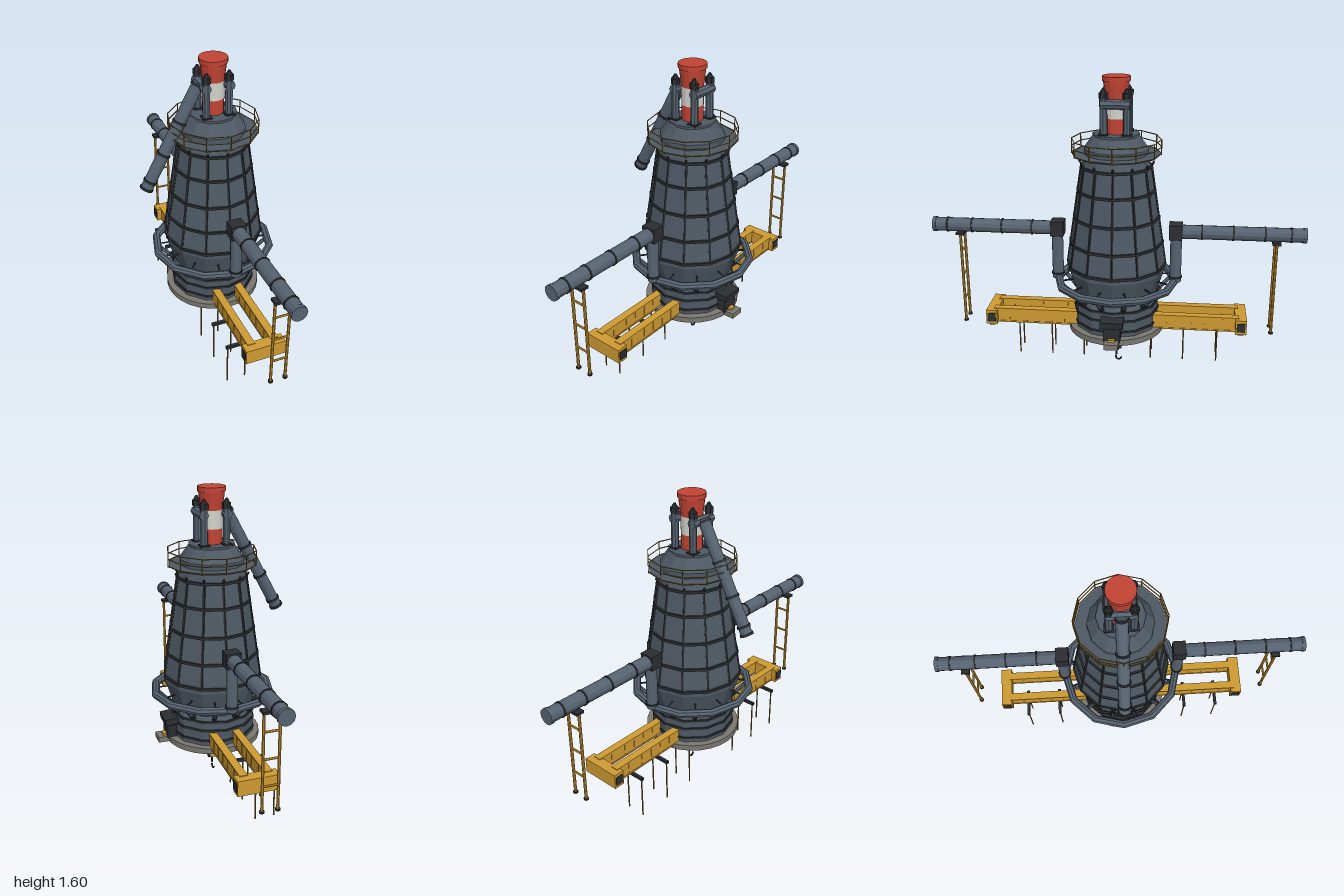
import * as THREE from 'three';

const mat = (name, color, side = THREE.FrontSide) => {
  const m = new THREE.MeshStandardMaterial({ color, flatShading: true, side });
  m.name = name;
  return m;
};

export function createModel() {
  const steel = mat('blue grey steel', 0x4e5964);
  const pipeMat = mat('pipe steel', 0x566270);
  const dark = mat('dark iron', 0x2b2d31);
  const yellow = mat('crane yellow', 0xcf9a32);
  const bronze = mat('rail bronze', 0x8a6826);
  const concrete = mat('concrete', 0x7a7770);
  const red = mat('signal red', 0xc24434);
  const white = mat('off white', 0xd4d4ce);

  const root = new THREE.Group();
  const plant = new THREE.Group();
  plant.name = 'blastFurnace';
  plant.position.x = 0.03;
  root.add(plant);

  const V = (x, y, z) => new THREE.Vector3(x, y, z);
  const polar = (r, a, y) => V(r * Math.sin(a), y, r * Math.cos(a));
  const add = (name, geo, m, x = 0, y = 0, z = 0) => {
    const mesh = new THREE.Mesh(geo, m);
    mesh.name = name;
    mesh.position.set(x, y, z);
    plant.add(mesh);
    return mesh;
  };
  const box = (name, m, w, h, d, x, y, z) => add(name, new THREE.BoxGeometry(w, h, d), m, x, y, z);
  // vertical drum from y0 to y1
  const drum = (name, m, r0, r1, y0, y1, n = 12, x = 0, z = 0) =>
    add(name, new THREE.CylinderGeometry(r1, r0, y1 - y0, n), m, x, (y0 + y1) / 2, z);
  // round bar between two points
  const rod = (name, m, a, b, r, n = 6) => {
    const dir = b.clone().sub(a);
    const mid = a.clone().add(b).multiplyScalar(0.5);
    const mesh = add(name, new THREE.CylinderGeometry(r, r, dir.length(), n), m, mid.x, mid.y, mid.z);
    mesh.quaternion.setFromUnitVectors(V(0, 1, 0), dir.normalize());
    return mesh;
  };
  // short collar around a pipe running from a to b, at fraction t
  const collar = (a, b, t, r, w, m = dark, n = 12) => {
    const d = b.clone().sub(a).normalize().multiplyScalar(w / 2);
    const c = a.clone().lerp(b, t);
    return rod('pipeCollar', m, c.clone().sub(d), c.clone().add(d), r, n);
  };
  const around = (n, f, shift = 0) => {
    for (let i = 0; i < n; i++) f(((i + shift) / n) * Math.PI * 2, i);
  };

  // Base slab and furnace shell
  drum('baseSlab', concrete, 0.26, 0.26, 0.226, 0.258, 28);
  const profile = [[0, 0.25], [0.228, 0.25], [0.228, 0.4], [0.215, 0.425], [0.262, 0.57], [0.262, 0.62],
    [0.18, 1.15], [0.168, 1.2], [0.168, 1.235], [0.122, 1.3], [0.122, 1.312], [0, 1.312]];
  add('furnaceShell', new THREE.LatheGeometry(profile.map(p => new THREE.Vector2(...p)), 12), steel);
  for (const y of [0.285, 0.345, 0.395]) drum('hearthBand', dark, 0.234, 0.234, y - 0.006, y + 0.006);

  // Stack hoops and vertical ribs
  const stackR = y => 0.262 - (y - 0.62) * (0.082 / 0.53);
  for (const y of [0.6, 0.727, 0.866, 1.012, 1.14]) {
    const r = Math.min(0.262, stackR(y)) + 0.009;
    drum('stackHoop', dark, r, r, y - 0.007, y + 0.007);
  }
  around(12, a => {
    rod('stackRib', dark, polar(0.264, a, 0.6), polar(0.182, a, 1.15), 0.007, 4);
    rod('ribTip', dark, polar(0.18, a, 1.135), polar(0.195, a, 1.165), 0.006, 4);
  });

  // Bustle pipe with tuyere feeds
  const bustle = add('bustlePipe', new THREE.TorusGeometry(0.318, 0.022, 8, 12), pipeMat, 0, 0.502, 0);
  bustle.rotation.x = Math.PI / 2;
  around(12, a => {
    rod('tuyereFeed', pipeMat, polar(0.3, a, 0.49), polar(0.235, a, 0.425), 0.011);
    rod('tuyereNozzle', dark, polar(0.245, a, 0.435), polar(0.212, a, 0.408), 0.014);
    rod('bustleHanger', dark, polar(0.305, a, 0.508), polar(0.235, a, 0.515), 0.005, 4);
  }, 0.5);

  // Top deck and railing
  drum('topDeck', steel, 0.228, 0.228, 1.199, 1.206);
  around(12, (a, i) => {
    const b = a + Math.PI / 6;
    rod('railPost', bronze, polar(0.233, a, 1.2), polar(0.233, a, 1.282), 0.003, 4);
    for (const y of [1.206, 1.242, 1.28]) rod('railBar', bronze, polar(0.233, a, y), polar(0.233, b, y), 0.003, 4);
  });

  // Banded chimney
  drum('chimneyLower', red, 0.056, 0.056, 1.31, 1.39, 16);
  drum('chimneyMiddle', white, 0.056, 0.057, 1.39, 1.485, 16);
  drum('chimneyUpper', red, 0.057, 0.068, 1.485, 1.58, 16);
  drum('chimneyRim', red, 0.073, 0.073, 1.578, 1.602, 16);

  // Four gas uptakes with relief valves, joined in pairs
  for (const sx of [-1, 1]) {
    for (const sz of [-1, 1]) {
      const x = sx * 0.06, z = sz * 0.06;
      drum('uptake', pipeMat, 0.02, 0.02, 1.28, 1.5, 8, x, z);
      drum('reliefValve', dark, 0.023, 0.023, 1.495, 1.525, 6, x, z);
      drum('valveTip', dark, 0.019, 0.006, 1.525, 1.547, 6, x, z);
      box('uptakeFoot', dark, 0.05, 0.012, 0.05, x, 1.312, z);
    }
    rod('uptakeCrossPipe', pipeMat, V(sx * 0.063, 1.467, -0.075), V(sx * 0.063, 1.467, 0.075), 0.025, 8);
  }

  // Slanted downcomer
  const dTop = V(-0.075, 1.48, 0), dEnd = V(-0.37, 0.932, 0);
  rod('downcomer', pipeMat, dTop, dEnd, 0.032, 12);
  for (const t of [0.02, 0.36, 0.66, 0.92, 0.99]) collar(dTop, dEnd, t, 0.037, 0.012);

  for (const s of [-1, 1]) {
    // Hot blast main, elbow and drop pipe
    const a = V(0, 0.785, s * 0.3), b = V(0, 0.785, s * 0.998);
    rod('blastMain', pipeMat, a, b, 0.038, 12);
    for (const z of [0.455, 0.62, 0.785, 0.92]) collar(a, b, (z - 0.3) / 0.698, 0.0415, 0.009);
    collar(a, b, 0.99, 0.042, 0.018, pipeMat);
    rod('mainEndCap', dark, V(0, 0.785, s * 0.99), V(0, 0.785, s), 0.037, 12);
    box('elbowBox', dark, 0.08, 0.08, 0.07, 0, 0.788, s * 0.317);
    drum('dropPipe', pipeMat, 0.031, 0.031, 0.5, 0.76, 12, 0, s * 0.32);
    drum('dropPipeCollar', dark, 0.036, 0.036, 0.522, 0.532, 12, 0, s * 0.32);

    // Trestle under the main
    const tz = s * 0.845;
    for (const x of [-0.04, 0.04]) {
      rod('trestleLeg', yellow, V(x, 0.235, tz), V(x, 0.75, tz), 0.008, 8);
      drum('trestleFoot', dark, 0.013, 0.013, 0.228, 0.238, 8, x, tz);
    }
    for (const y of [0.366, 0.506, 0.645]) rod('trestleRung', yellow, V(-0.04, y, tz), V(0.04, y, tz), 0.006, 6);
    box('trestleSaddle', dark, 0.105, 0.014, 0.045, 0, 0.748, tz);

    // Crane runway: twin girders, end beam and stiffeners
    for (const x of [-0.064, 0.064]) {
      box('girder', yellow, 0.036, 0.075, 0.48, x, 0.29, s * 0.43);
      box('girderFlange', yellow, 0.042, 0.008, 0.48, x, 0.328, s * 0.43);
      box('girderFlange', yellow, 0.042, 0.008, 0.48, x, 0.254, s * 0.43);
      for (const z of [0.28, 0.35, 0.42, 0.49, 0.585])
        box('girderStiffener', yellow, 0.041, 0.07, 0.005, x, 0.29, s * z);
    }
    box('endBeam', yellow, 0.218, 0.082, 0.06, 0, 0.287, s * 0.68);
    for (const sx of [-1, 1]) {
      box('endBeamPlate', dark, 0.006, 0.05, 0.045, sx * 0.11, 0.287, s * 0.68);
      box('endBeamWheel', dark, 0.03, 0.014, 0.03, sx * 0.085, 0.245, s * 0.68);
    }

    // Cantilever arms on thin posts
    for (const z of [0.19, 0.373, 0.56]) {
      box('supportArm', dark, 0.15, 0.016, 0.016, -0.08, 0.24, s * z);
      for (const x of [-0.145, -0.043]) rod('supportPost', bronze, V(x, 0, s * z), V(x, 0.24, s * z), 0.004, 6);
    }
  }

  // Tap hole machinery on the left side
  box('runner', concrete, 0.16, 0.03, 0.075, 0.237, 0.245, 0);
  box('tapHousing', dark, 0.07, 0.075, 0.09, 0.233, 0.288, 0);
  box('tapHood', dark, 0.09, 0.036, 0.12, 0.238, 0.355, 0).rotation.z = -0.1;
  box('tapDrill', yellow, 0.04, 0.02, 0.035, 0.268, 0.262, 0);
  box('slagBox', dark, 0.078, 0.075, 0.082, 0.118, 0.193, 0);

  // Hoist and hook under the slab
  box('hoistDrum', dark, 0.06, 0.015, 0.06, 0, 0.221, 0);
  box('hoistMotor', red, 0.025, 0.014, 0.02, 0.02, 0.212, -0.03);
  for (const x of [-0.014, 0.014]) rod('hoistRope', dark, V(x, 0.1, 0), V(x, 0.226, 0), 0.0018, 4);
  box('hookBlock', yellow, 0.03, 0.038, 0.026, 0, 0.09, 0);
  for (const x of [-0.02, 0.02]) rod('hookSheave', dark, V(x - 0.005, 0.09, 0), V(x + 0.005, 0.09, 0), 0.02, 12);
  rod('hookShank', dark, V(0, 0.034, 0), V(0, 0.075, 0), 0.006, 6);
  const hook = add('hook', new THREE.TorusGeometry(0.015, 0.005, 6, 12, Math.PI * 1.25), dark, 0, 0.02, -0.012);
  hook.rotation.set(0, Math.PI / 2, 0);
  hook.rotateZ(Math.PI * 0.8);

  return root;
}
